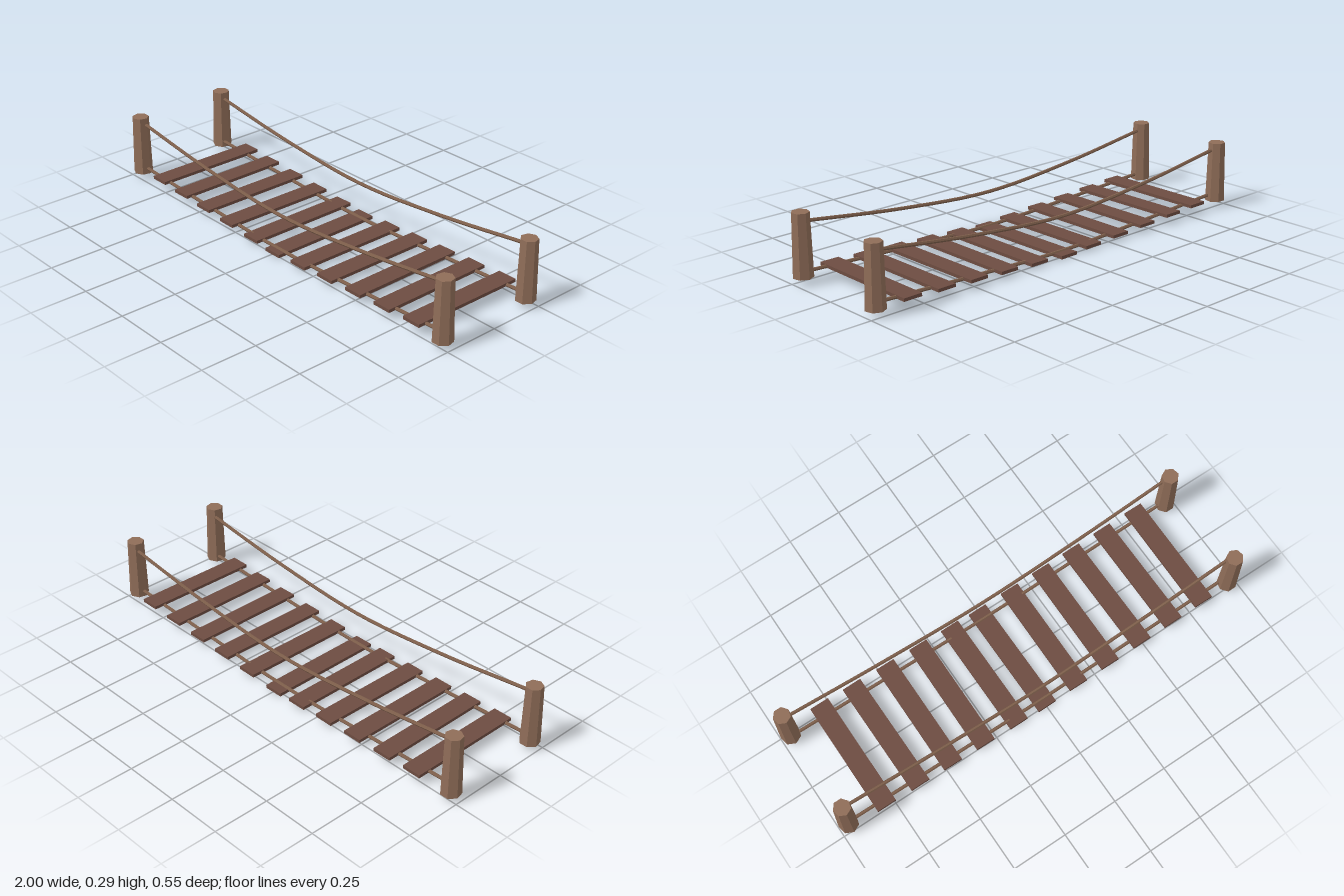
import * as THREE from 'three';

const material = (name, color) => {
  const m = new THREE.MeshStandardMaterial({ color });
  m.name = name;
  m.flatShading = true;
  return m;
};

export function createModel() {
  const bridge = new THREE.Group();
  bridge.name = 'ropeBridge';
  const postWood = material('post wood', 0x8f6d58);
  const ropeFibre = material('rope fibre', 0x7e5f4b);
  const plankWood = material('plank wood', 0x6d4c41);

  const add = (name, geometry, mat, x = 0, y = 0, z = 0) => {
    const mesh = new THREE.Mesh(geometry, mat);
    mesh.name = name;
    mesh.position.set(x, y, z);
    bridge.add(mesh);
    return mesh;
  };

  // Tapered seven-sided posts, the two ends slightly offset from each other
  const postGeometry = new THREE.CylinderGeometry(0.037, 0.043, 0.268, 7);
  for (const end of [-1, 1]) {
    for (const side of [-1, 1]) {
      const post = add('post', postGeometry, postWood, end * 0.957, 0.159, side * 0.227 + end * 0.007);
      post.rotation.y = end > 0 ? Math.PI : 0;
    }
  }

  // Sagging ropes strung between the posts
  const rope = (name, heights, z) => {
    const points = heights.map((y, i) => new THREE.Vector3(-0.95 + (1.9 * i) / (heights.length - 1), y, z));
    const curve = new THREE.CatmullRomCurve3(points);
    add(name, new THREE.TubeGeometry(curve, 24, 0.0075, 6), ropeFibre);
  };
  for (const [hand, foot] of [[0.215, 0.22], [-0.23, -0.22]]) {
    rope('handRope', [0.264, 0.202, 0.168, 0.2, 0.259], hand);
    rope('deckRope', [0.051, 0.029, 0.013, 0.029, 0.051], foot);
  }

  // Deck planks following the sag
  const plankGeometry = new THREE.BoxGeometry(0.086, 0.014, 0.527);
  const plankX = [-0.79, -0.63, -0.468, -0.305, -0.142, 0, 0.163, 0.326, 0.489, 0.652, 0.815];
  plankX.forEach((x, i) => {
    const y = 0.007 + 0.041 * Math.pow(Math.abs(x) / 0.815, 0.9);
    const z = -0.012 + 0.006 * Math.min(1, i / 5);
    const plank = add('plank', plankGeometry, plankWood, x, y, z);
    plank.rotation.y = 0.008 * Math.sin(i * 1.7);
  });

  return bridge;
}
